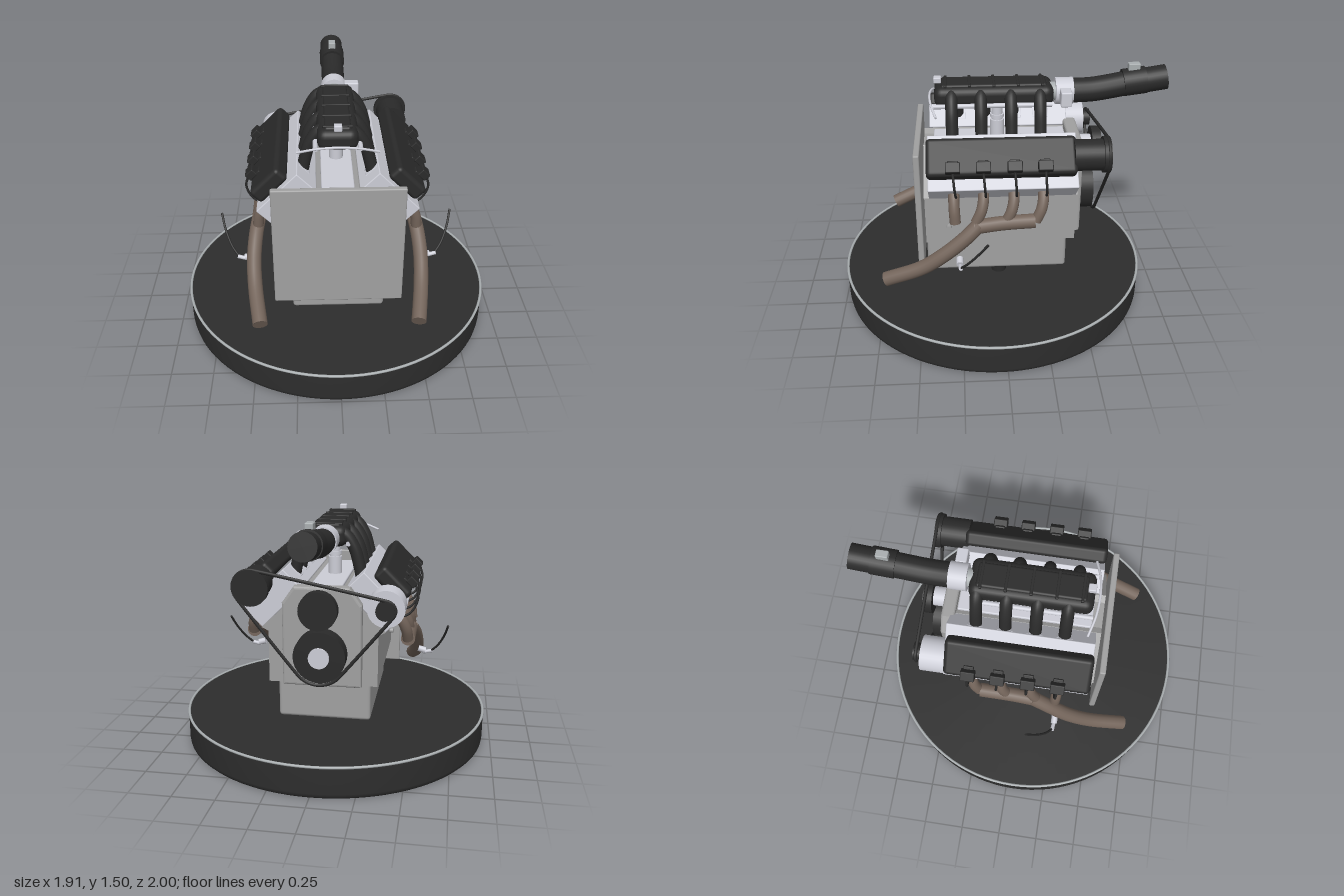
import * as THREE from 'three';
import { RoundedBoxGeometry } from 'three/addons/geometries/RoundedBoxGeometry.js';

const V = (x, y, z) => new THREE.Vector3(x, y, z);

export function createModel() {
  const root = new THREE.Group();
  root.name = 'engineOnStand';
  const mat = (name, color) => Object.assign(new THREE.MeshStandardMaterial({ color }), { name });
  const black = mat('black plastic', 0x2a2a2a);
  const stand = mat('stand black', 0x2d2d2d);
  const grey = mat('cast iron grey', 0xa0a0a0);
  const alloy = mat('light alloy', 0xcccdd6);
  const brown = mat('exhaust brown', 0x73645a);
  const trim = mat('rim grey', 0xa9aeb0);

  const add = (name, geo, m, x = 0, y = 0, z = 0) => {
    const mesh = new THREE.Mesh(geo, m);
    mesh.name = name;
    mesh.position.set(x, y, z);
    root.add(mesh);
    return mesh;
  };
  const box = (name, m, w, h, d, x, y, z, r = 0.01) =>
    add(name, new RoundedBoxGeometry(w, h, d, 3, r), m, x, y, z);
  // cylinder between two points
  const rod = (name, m, a, b, r, r2 = r) => {
    const dir = b.clone().sub(a);
    const mesh = add(name, new THREE.CylinderGeometry(r2, r, dir.length(), 32), m);
    mesh.position.copy(a).add(b).multiplyScalar(0.5);
    mesh.quaternion.setFromUnitVectors(V(0, 1, 0), dir.normalize());
    return mesh;
  };
  // round tube through points, closed off by discs
  const tube = (name, m, pts, r) => {
    const curve = new THREE.CatmullRomCurve3(pts);
    add(name, new THREE.TubeGeometry(curve, 28, r, 16), m);
    for (const t of [0, 1]) {
      const cap = add(name + 'End', new THREE.CircleGeometry(r, 16), m);
      cap.position.copy(curve.getPoint(t));
      cap.quaternion.setFromUnitVectors(V(0, 0, 1), curve.getTangent(t).multiplyScalar(t ? 1 : -1));
    }
  };
  const prism = (name, m, pts, z0, depth, bevel = 0) => add(name, new THREE.ExtrudeGeometry(
    new THREE.Shape(pts.map(p => new THREE.Vector2(...p))),
    { depth, bevelEnabled: bevel > 0, bevelSize: bevel, bevelThickness: bevel, bevelOffset: -bevel, bevelSegments: 3 }), m, 0, 0, z0);
  const mirrored = pts => [...pts, ...pts.slice().reverse().map(([x, y]) => [-x, y])];

  // Round display stand
  const plate = [[0, 0], [0.935, 0], [0.947, 0.012], [0.95, 0.03], [0.95, 0.175], [0.945, 0.19], [0, 0.19]];
  const sides = plate.map(p => new THREE.Vector2(...p));
  add('standDisc', new THREE.LatheGeometry(sides, 96), stand, 0, 0, 0.045);
  const rim = add('standRim', new THREE.TorusGeometry(0.947, 0.008, 10, 96), trim, 0, 0.19, 0.045);
  rim.rotation.x = Math.PI / 2;
  for (const s of [-1, 1]) rod('mountFoot', black, V(s * 0.185, 0.185, 0.015), V(s * 0.185, 0.27, 0.015), 0.046);
  rod('centrePost', alloy, V(0, 0.185, 0.015), V(0, 0.26, 0.015), 0.05);

  // Block, sump, end plates
  prism('block', grey, mirrored([[0.32, 0.49], [0.32, 0.8], [0.36, 0.82], [0.12, 1.05], [0.08, 1.03]]), -0.44, 0.9);
  box('sump', grey, 0.55, 0.25, 0.86, 0, 0.38, 0.03, 0.02);
  box('frontPlate', grey, 0.76, 0.765, 0.036, 0, 0.723, 0.492, 0.008);
  prism('timingCover', grey, mirrored([[0.23, 0.49], [0.23, 0.98], [0.16, 1.08]]), -0.47, 0.05, 0.015);
  box('valleyPlate', alloy, 0.19, 0.03, 0.8, 0, 1.04, 0, 0.008);
  rod('valleyPostBase', alloy, V(0, 1.04, 0.015), V(0, 1.16, 0.015), 0.042);
  rod('valleyPost', alloy, V(0, 1.16, 0.015), V(0, 1.3, 0.015), 0.033);
  rod('postCollar', alloy, V(0, 1.175, 0.015), V(0, 1.195, 0.015), 0.042);

  // Both cylinder banks
  const step = [0.285, 0.115, -0.06, -0.23];
  for (const s of [1, -1]) {
    const dz = s > 0 ? 0 : -0.035;
    const tilt = -s * Math.PI / 4;
    const P = (x, y, z) => V(s * x, y, z);
    box('cylinderHead', alloy, 0.335, 0.155, 0.86, s * 0.295, 0.99, 0, 0.006).rotation.z = tilt;
    box('valveCover', black, 0.225, 0.095, 0.85, s * 0.39, 1.09, 0.01, 0.025).rotation.z = tilt;
    rod('fuelRail', alloy, P(0.125, 1.295, -0.3), P(0.125, 1.295, 0.39), 0.014);
    for (const zi of step) {
      const z = zi + dz;
      box('coil', black, 0.06, 0.047, 0.083, s * 0.495, 1.085, z, 0.006).rotation.z = tilt;
      box('coilStep', black, 0.07, 0.03, 0.06, s * 0.465, 1.075, z, 0.006).rotation.z = tilt;
      tube('plugLead', black, [P(0.515, 1.06, z), P(0.53, 0.99, z - 0.005), P(0.49, 0.9, z - 0.012), P(0.41, 0.86, z - 0.015)], 0.007);
      tube('intakeRunner', black, [P(0.2, 1.1, z), P(0.185, 1.17, z), P(0.155, 1.27, z), P(0.1, 1.345, z), P(0.03, 1.36, z)], 0.036);
      box('intakePort', alloy, 0.09, 0.02, 0.1, s * 0.195, 1.115, z, 0.005).rotation.z = s * Math.PI / 4;
      // header pipe sweeps forward except the front one
      const sweep = zi > 0.2 ? -0.005 : 0.045;
      tube('headerPipe', brown, [P(0.405, 0.885, z), P(0.437, 0.85, z), P(0.465, 0.79, z + sweep * 0.3), P(0.475, 0.72, z + sweep)], 0.032);
    }
    tube('collector', brown, [P(0.475, 0.72, -0.18 + dz), P(0.475, 0.71, 0), P(0.478, 0.69, 0.17 + dz)], 0.043);
    tube('downpipe', brown, [P(0.475, 0.705, 0.14 + dz), P(0.495, 0.63, 0.22), P(0.505, 0.53, 0.34), P(0.495, 0.43, 0.48), P(0.46, 0.33, 0.705)], 0.044);
    // exhaust probe and its lead
    rod('probeNut', alloy, P(0.52, 0.505, 0.26), P(0.565, 0.492, 0.26), 0.02);
    rod('probe', alloy, P(0.55, 0.48, 0.26), P(0.612, 0.495, 0.255), 0.012);
    tube('probeLead', black, [P(0.6, 0.49, 0.257), P(0.645, 0.545, 0.22), P(0.685, 0.63, 0.16), P(0.708, 0.715, 0.1)], 0.007);
    rod('blockPlug', grey, P(0.3, 0.6, 0.32), P(0.345, 0.6, 0.32), 0.016);
  }

  // Intake plenum with ribbed lid
  box('plenum', black, 0.23, 0.12, 0.7, 0, 1.335, 0.035, 0.045);
  box('plenumLid', black, 0.15, 0.05, 0.62, 0, 1.38, 0.035, 0.015);
  for (let i = 0; i < 5; i++) box('lidRib', black, 0.17, 0.02, 0.018, 0, 1.398, 0.32 - i * 0.142, 0.005);
  box('plenumSensor', alloy, 0.045, 0.035, 0.045, 0, 1.415, 0.365, 0.006);
  tube('frontHose', alloy, [V(-0.23, 1.27, 0.375), V(-0.12, 1.305, 0.405), V(0, 1.318, 0.415), V(0.12, 1.305, 0.405), V(0.23, 1.27, 0.375)], 0.007);

  // Throttle body and air pipe
  rod('throttleNeck', trim, V(0, 1.33, -0.29), V(0, 1.33, -0.34), 0.055);
  rod('throttleBody', alloy, V(0, 1.33, -0.33), V(0, 1.33, -0.435), 0.08);
  box('throttleActuator', alloy, 0.09, 0.09, 0.065, 0.11, 1.33, -0.382, 0.008);
  tube('airPipe', black, [V(0, 1.33, -0.42), V(0, 1.335, -0.55), V(0, 1.355, -0.68), V(0, 1.375, -0.78)], 0.073);
  rod('airSleeve', black, V(0, 1.372, -0.735), V(0, 1.39, -0.87), 0.081);
  rod('airInlet', black, V(0, 1.385, -0.86), V(0, 1.405, -0.99), 0.074);
  box('airSensor', trim, 0.045, 0.05, 0.07, 0, 1.47, -0.795, 0.006);

  // Rear accessories and pulleys
  const disc = (name, m, x, y, z0, z1, r) => rod(name, m, V(x, y, z0), V(x, y, z1), r);
  disc('crankPulley', black, 0, 0.695, -0.48, -0.575, 0.15);
  disc('crankHub', alloy, 0, 0.695, -0.57, -0.59, 0.06);
  disc('idlerShaft', alloy, 0, 0.975, -0.46, -0.57, 0.06);
  disc('idlerPulley', black, 0, 0.975, -0.56, -0.615, 0.11);
  disc('alternator', alloy, -0.37, 0.99, -0.41, -0.56, 0.105);
  disc('alternatorPulley', black, -0.37, 0.99, -0.555, -0.612, 0.053);
  disc('pumpBody', black, 0.38, 1.09, -0.4, -0.566, 0.09);
  disc('pumpPulley', black, 0.38, 1.09, -0.565, -0.605, 0.104);

  // Drive belt: arcs joined by outer tangents, counterclockwise
  const wheels = [[0, 0.695, 0.155], [0.38, 1.09, 0.1], [-0.37, 0.99, 0.055]];
  const normals = wheels.map(([x, y, r], i) => {
    const [u, v, q] = wheels[(i + 1) % 3];
    return Math.atan2(v - y, u - x) - Math.acos((r - q) / Math.hypot(u - x, v - y));
  });
  const loop = [];
  wheels.forEach(([x, y, r], i) => {
    const a = normals[(i + 2) % 3];
    const turn = (normals[i] - a + 4 * Math.PI) % (2 * Math.PI);
    for (let k = 0; k <= 12; k++) {
      const t = a + turn * k / 12;
      loop.push(V(x + r * Math.cos(t), y + r * Math.sin(t), -0.592));
    }
  });
  add('driveBelt', new THREE.TubeGeometry(new THREE.CatmullRomCurve3(loop, true), 160, 0.01, 8, true), black);
  return root;
}
